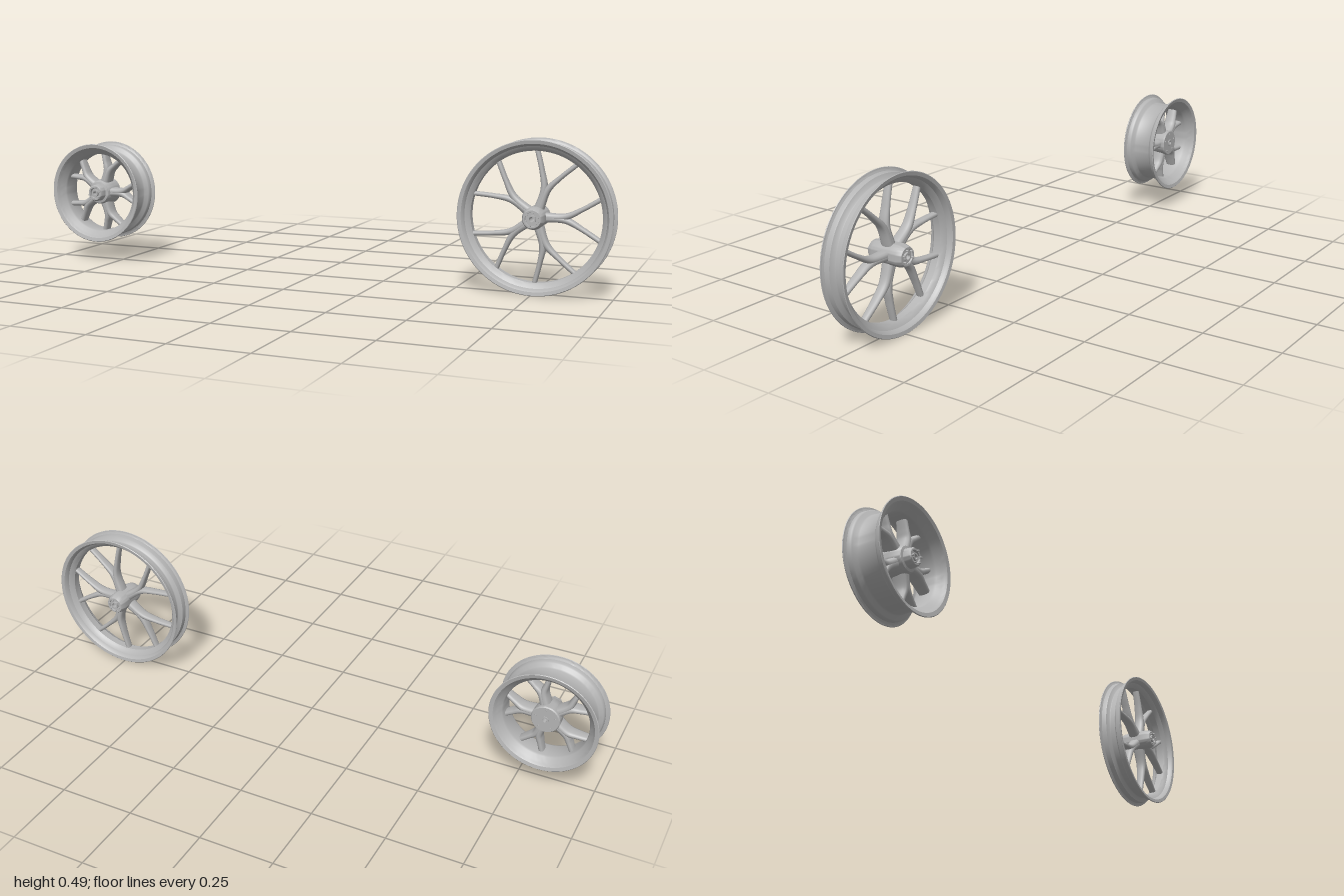
import * as THREE from 'three';
import { toCreasedNormals } from 'three/addons/utils/BufferGeometryUtils.js';

const metal = new THREE.MeshStandardMaterial({ color: 0xb4b4b4 });
metal.name = 'cast metal';

function add(parent, name, geometry) {
  const mesh = new THREE.Mesh(geometry, metal);
  mesh.name = name;
  parent.add(mesh);
  return mesh;
}

// Closed [radius, z] profile turned around the axle (z)
function turned(points, segments = 96) {
  const pts = points.map(([r, z]) => new THREE.Vector2(r, z));
  pts.push(pts[0].clone());
  return toCreasedNormals(new THREE.LatheGeometry(pts, segments).rotateX(Math.PI / 2), 0.6);
}

// Profile given for one half (centre to lip), mirrored to both sides
function symmetricRim(outer, inner) {
  const flip = ([r, z]) => [r, -z];
  return turned([
    ...outer.map(flip).reverse(), ...outer,
    ...inner.slice().reverse(), ...inner.map(flip),
  ]);
}

// Rounded bar swept along a planar curve, tapering in width and depth
function bar(curve, width, depth, steps = 20, sides = 12) {
  const pos = [], index = [];
  for (let i = 0; i <= steps; i++) {
    const t = i / steps, p = curve.getPoint(t), d = curve.getTangent(t);
    const w = THREE.MathUtils.lerp(width[0], width[1], Math.min(1, t * 1.5)) / 2;
    const h = THREE.MathUtils.lerp(depth[0], depth[1], t) / 2;
    for (let j = 0; j < sides; j++) {
      const a = (j / sides) * Math.PI * 2;
      const c = Math.cos(a), s = Math.sin(a);
      const u = Math.sign(c) * Math.abs(c) ** 0.75 * w;
      pos.push(p.x - d.y * u, p.y + d.x * u, Math.sign(s) * Math.abs(s) ** 0.75 * h);
      if (i < steps) {
        const k = i * sides + j, n = i * sides + ((j + 1) % sides);
        index.push(k, n, k + sides, n, n + sides, k + sides);
      }
    }
  }
  const g = new THREE.BufferGeometry();
  g.setAttribute('position', new THREE.Float32BufferAttribute(pos, 3));
  g.setIndex(index);
  g.computeVertexNormals();
  return g;
}

// Five Y-shaped spokes, each made from two mirrored curved branches
function addSpokes(wheel, { start, fork, end, spread, width, depth }) {
  for (let i = 0; i < 5; i++) {
    const spoke = new THREE.Group();
    spoke.name = 'forkedSpoke';
    spoke.rotation.z = (i * Math.PI * 2) / 5;
    for (const side of [-1, 1]) {
      const at = (r, a) => new THREE.Vector3(r * Math.cos(a * side), r * Math.sin(a * side), 0);
      const path = new THREE.CatmullRomCurve3([
        at(start, 0.12), at(fork, 0.06),
        at(fork + (end - fork) * 0.45, spread * 0.66), at(end, spread),
      ]);
      add(spoke, 'spokeBranch', bar(path, width, depth));
    }
    wheel.add(spoke);
  }
}

// Ring of small bolt heads on a hub face
function addBolts(wheel, ring, z, count = 6) {
  for (let i = 0; i < count; i++) {
    const a = (i / count) * Math.PI * 2 + 0.3;
    const bolt = add(wheel, 'hubBolt', new THREE.CylinderGeometry(0.003, 0.003, 0.008, 10).rotateX(Math.PI / 2));
    bolt.position.set(Math.cos(a) * ring, Math.sin(a) * ring, z);
  }
}

function largeWheel() {
  const wheel = new THREE.Group();
  wheel.name = 'largeWheel';
  add(wheel, 'rim', symmetricRim(
    [[0.217, 0.009], [0.219, 0.012], [0.232, 0.019], [0.233, 0.023], [0.234, 0.036], [0.238, 0.039], [0.244, 0.04], [0.245, 0.042]],
    [[0.208, 0.012], [0.213, 0.019], [0.224, 0.026], [0.227, 0.036], [0.232, 0.042], [0.243, 0.044]],
  ));
  addSpokes(wheel, { start: 0.02, fork: 0.092, end: 0.213, spread: 0.32, width: [0.027, 0.015], depth: [0.042, 0.024] });
  // Tapered hub, equal on both sides, with an axle bore
  add(wheel, 'hub', turned([
    [0.012, -0.058], [0.021, -0.058], [0.022, -0.063], [0.028, -0.063], [0.03, -0.06], [0.035, -0.044], [0.035, -0.02],
    [0.035, 0.02], [0.035, 0.044], [0.03, 0.06], [0.028, 0.063], [0.022, 0.063], [0.021, 0.058], [0.012, 0.058],
  ], 48));
  add(wheel, 'axleSleeve', turned([[0.008, -0.065], [0.013, -0.065], [0.013, 0.065], [0.008, 0.065]], 32));
  for (const s of [-1, 1]) addBolts(wheel, 0.02, s * 0.066);
  wheel.position.set(0.755, 0.246, 0);
  return wheel;
}

function smallWheel() {
  const wheel = new THREE.Group();
  wheel.name = 'smallWheel';
  add(wheel, 'rim', symmetricRim(
    [[0.146, 0.028], [0.149, 0.033], [0.16, 0.039], [0.163, 0.043], [0.164, 0.055], [0.168, 0.058], [0.175, 0.059], [0.176, 0.061]],
    [[0.138, 0.028], [0.141, 0.035], [0.153, 0.046], [0.157, 0.054], [0.162, 0.06], [0.174, 0.063]],
  ));
  addSpokes(wheel, { start: 0.025, fork: 0.082, end: 0.143, spread: 0.27, width: [0.029, 0.018], depth: [0.056, 0.036] });
  // Hub steps forward to a raised boss; the back is a flat flange
  add(wheel, 'hub', turned([
    [0.01, -0.038], [0.044, -0.038], [0.047, -0.034], [0.046, 0], [0.041, 0.032], [0.038, 0.036],
    [0.03, 0.038], [0.028, 0.058], [0.025, 0.062], [0.019, 0.062], [0.018, 0.054], [0.01, 0.054],
  ], 48));
  add(wheel, 'axleSleeve', turned([[0.007, -0.041], [0.012, -0.041], [0.012, 0.062], [0.007, 0.062]], 32));
  addBolts(wheel, 0.021, 0.064);
  addBolts(wheel, 0.033, -0.037, 5);
  wheel.position.set(-0.824, 0.246, 0);
  return wheel;
}

export function createModel() {
  const model = new THREE.Group();
  model.name = 'wheelPair';
  model.add(largeWheel(), smallWheel());
  return model;
}
